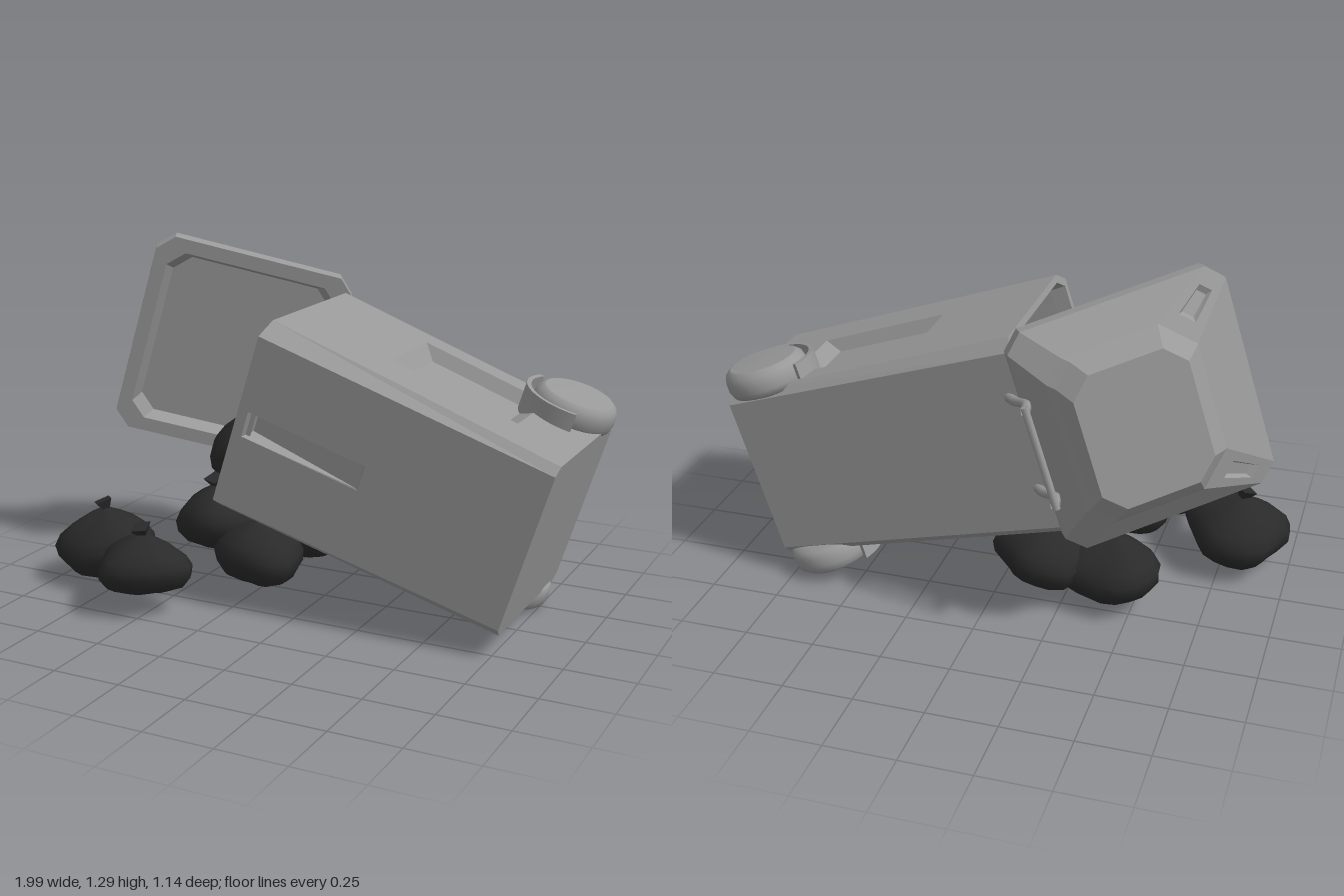
import * as THREE from 'three';
import { mergeVertices } from 'three/addons/utils/BufferGeometryUtils.js';

const grey = new THREE.MeshStandardMaterial({ color: 0x999999, side: THREE.DoubleSide });
const flat = new THREE.MeshStandardMaterial({ color: 0x999999, side: THREE.DoubleSide, flatShading: true });
const black = new THREE.MeshStandardMaterial({ color: 0x2a2a2a });
const blackFlat = new THREE.MeshStandardMaterial({ color: 0x2a2a2a, flatShading: true, side: THREE.DoubleSide });
const V = (x, y, z) => new THREE.Vector3(x, y, z);

function add(parent, name, geo, mat) {
  const m = new THREE.Mesh(geo, mat);
  m.name = name;
  parent.add(m);
  return m;
}

// Rectangle with cut corners at height y, spanning z0 (back) to z1 (front)
function ring(y, hw, z0, z1, cx, cz, cxb = cx, czb = cz) {
  return [
    V(hw, y, z1 - cz), V(hw, y, z0 + czb), V(hw - cxb, y, z0), V(-hw + cxb, y, z0),
    V(-hw, y, z0 + czb), V(-hw, y, z1 - cz), V(-hw + cx, y, z1), V(hw - cx, y, z1),
  ];
}

const quad = (out, a, b, c, d) => out.push(a, b, c, a, c, d);

function cap(out, r, flip) {
  for (let i = 1; i < r.length - 1; i++) out.push(r[0], flip ? r[i + 1] : r[i], flip ? r[i] : r[i + 1]);
}

function strip(out, a, b, special = {}) {
  for (let i = 0; i < a.length; i++) {
    const j = (i + 1) % a.length;
    if (special[i]) recess(out, [a[i], a[j], b[j], b[i]], special[i]);
    else quad(out, a[i], a[j], b[j], b[i]);
  }
}

// Face with a sunken panel: [s0, s1, t0, t1], wall slope and depth at both ends
function recess(out, c, { area, slope, depth }) {
  const at = (s, t) => c[0].clone().lerp(c[1], s).lerp(c[3].clone().lerp(c[2], s), t);
  const n = c[1].clone().sub(c[0]).cross(c[3].clone().sub(c[0])).normalize();
  const [s0, s1, t0, t1] = area;
  const hole = [at(s0, t0), at(s1, t0), at(s1, t1), at(s0, t1)];
  const floor = [
    at(s0 + slope, t0 + slope), at(s1 - slope, t0 + slope),
    at(s1 - slope, t1 - slope), at(s0 + slope, t1 - slope),
  ].map((p, i) => p.addScaledVector(n, -depth[i < 2 ? 0 : 1]));
  strip(out, c, hole);
  strip(out, hole, floor);
  quad(out, ...floor);
}

function toGeometry(points) {
  const g = new THREE.BufferGeometry().setFromPoints(points);
  g.computeVertexNormals();
  return g;
}

function makeBody() {
  const base = ring(-1.12, 0.322, -0.345, 0.28, 0.03, 0.03);
  const mouth = ring(0, 0.365, -0.41, 0.3, 0.045, 0.08, 0.04, 0.05);
  const lip = ring(0, 0.34, -0.385, 0.275, 0.04, 0.07, 0.04, 0.05);
  const lipInner = ring(-0.06, 0.335, -0.382, 0.272, 0.04, 0.07, 0.04, 0.05);
  const out = [];
  cap(out, base, true);
  strip(out, base, mouth, {
    0: { area: [0.3, 0.85, 0.2, 0.645], slope: 0.05, depth: [0.045, 0.045] },
    4: { area: [0.15, 0.7, 0.2, 0.645], slope: 0.05, depth: [0.045, 0.045] },
    6: { area: [0.425, 0.575, 0.55, 0.965], slope: 0.008, depth: [0.002, 0.075] },
  });
  strip(out, mouth, lip);
  strip(out, lip, lipInner);
  return toGeometry(out);
}

// Lid shell from the inner floor, round the rim, up to the raised top panel
function makeLid() {
  const rings = [
    ring(0.05, 0.322, 0.07, 0.68, 0.06, 0.06),
    ring(0, 0.345, 0.05, 0.71, 0.06, 0.06),
    ring(0, 0.398, 0, 0.76, 0.06, 0.06),
    ring(0.055, 0.398, 0, 0.76, 0.06, 0.06),
    ring(0.15, 0.3, 0.08, 0.59, 0.11, 0.11, 0.07, 0.07),
    ring(0.17, 0.285, 0.1, 0.575, 0.1, 0.1, 0.07, 0.07),
    ring(0.22, 0.24, 0.135, 0.53, 0.07, 0.07),
  ];
  // sunken grips in the two front corners
  const grip = { area: [0.26, 0.74, 0.25, 0.75], slope: 0.07, depth: [0.015, 0.015] };
  const out = [];
  cap(out, rings[0], true);
  for (let i = 0; i < rings.length - 1; i++) strip(out, rings[i], rings[i + 1], i === 3 ? { 5: grip, 7: grip } : {});
  cap(out, rings.at(-1));
  return toGeometry(out);
}

function makeFender() {
  const s = new THREE.Shape();
  s.absarc(0, 0, 0.183, -0.3, 2.0, false);
  s.absarc(0, 0, 0.167, 2.0, -0.3, true);
  s.closePath();
  // shape x becomes the front direction, the depth runs sideways
  return new THREE.ExtrudeGeometry(s, { depth: 0.11, bevelEnabled: false, curveSegments: 14 })
    .rotateY(-Math.PI / 2).translate(0.055, 0, 0);
}

function makeWheel() {
  const pts = [[0, -0.055], [0.11, -0.055], [0.14, -0.045], [0.15, -0.02], [0.15, 0.01],
    [0.143, 0.035], [0.125, 0.05], [0.118, 0.053], [0, 0.055]];
  return new THREE.LatheGeometry(pts.map(p => new THREE.Vector2(...p)), 28).rotateZ(-Math.PI / 2);
}

// Slumped sack with gathered folds towards the knot
function makeBag(seed) {
  const pts = [[0, -1], [0.45, -0.95], [0.8, -0.72], [0.98, -0.35], [1, -0.02], [0.88, 0.3],
    [0.64, 0.58], [0.36, 0.8], [0.14, 0.93], [0, 0.97]];
  let g = new THREE.LatheGeometry(pts.map(p => new THREE.Vector2(...p)), 18);
  const p = g.attributes.position;
  for (let i = 0; i < p.count; i++) {
    const x = p.getX(i), y = p.getY(i), z = p.getZ(i), a = Math.atan2(z, x);
    const k = 1 + 0.07 * Math.sin(3 * a + seed) + 0.05 * Math.sin(5 * a + seed * 2 + y * 2);
    p.setXYZ(i, x * k, y + 0.09 * Math.hypot(x, z) * Math.sin(2 * a + seed * 3), z * k);
  }
  g.deleteAttribute('normal');
  g.deleteAttribute('uv');
  g = mergeVertices(g, 1e-3);
  g.computeVertexNormals();
  return g;
}

export function createModel() {
  const model = new THREE.Group();
  model.name = 'tippedBin';

  // Bin lying on its side, its own y axis running out of the mouth
  const bin = new THREE.Group();
  bin.name = 'bin';
  bin.position.set(-0.2, 0.72, 0);
  bin.rotation.z = 1.265;
  model.add(bin);
  add(bin, 'body', makeBody(), flat);

  // Open lid, hinged on the back edge of the mouth
  const lid = add(bin, 'lid', makeLid(), flat);
  lid.position.set(0, -0.005, -0.425);
  lid.rotation.x = -Math.PI / 3;

  for (const side of [1, -1]) {
    // Wheels and fenders
    const wheel = add(bin, 'wheel', makeWheel(), grey);
    wheel.position.set(side * 0.355, -0.987, -0.245);
    wheel.rotation.y = side > 0 ? 0 : Math.PI;
    add(bin, 'fender', makeFender(), flat).position.set(side * 0.335, -0.987, -0.245);

    // Handle brackets
    const path = new THREE.CatmullRomCurve3([V(side * 0.17, -0.05, -0.4), V(side * 0.17, -0.01, -0.45),
      V(side * 0.17, 0.04, -0.49), V(side * 0.17, 0.06, -0.56)]);
    add(bin, 'handleBracket', new THREE.TubeGeometry(path, 10, 0.017, 6), grey);
  }
  const bar = add(bin, 'handleBar', new THREE.CylinderGeometry(0.014, 0.014, 0.37, 8), grey);
  bar.rotation.z = Math.PI / 2;
  bar.position.set(0, 0.06, -0.555);
  const axle = add(bin, 'axle', new THREE.CylinderGeometry(0.02, 0.02, 0.62, 10), grey);
  axle.rotation.z = Math.PI / 2;
  axle.position.set(0, -0.987, -0.245);

  // Spilled rubbish bags: centre, radii, tilt
  const bags = [
    [-0.805, 0.16, 0.21, 0.19, 0.13, 0.175, 0.12],
    [-0.52, 0.185, 0.42, 0.17, 0.11, 0.145, 0],
    [-0.4, 0.28, 0.08, 0.17, 0.12, 0.145, 0.1],
    [-0.19, 0.195, 0.15, 0.165, 0.12, 0.145, 0],
    [-0.18, 0.19, -0.21, 0.18, 0.12, 0.145, 0.05],
    [-0.41, 0.155, -0.18, 0.185, 0.12, 0.16, 0],
    [-0.38, 0.48, -0.19, 0.2, 0.14, 0.165, 0.2],
    [-0.12, 0.48, -0.04, 0.165, 0.135, 0.15, -0.3],
  ];
  bags.forEach(([x, y, z, rx, ry, rz, tilt], i) => {
    const bag = new THREE.Group();
    bag.name = 'rubbishBag';
    bag.position.set(x, y, z);
    bag.rotation.z = tilt;
    add(bag, 'sack', makeBag(i * 1.7 + 0.4), black).scale.set(rx, ry, rz);
    const knot = add(bag, 'knot', new THREE.CylinderGeometry(0.042, 0.014, 0.04, 4), blackFlat);
    knot.position.y = ry + 0.005;
    knot.rotation.set(0.15, i, 0.2);
    model.add(bag);
  });
  return model;
}
